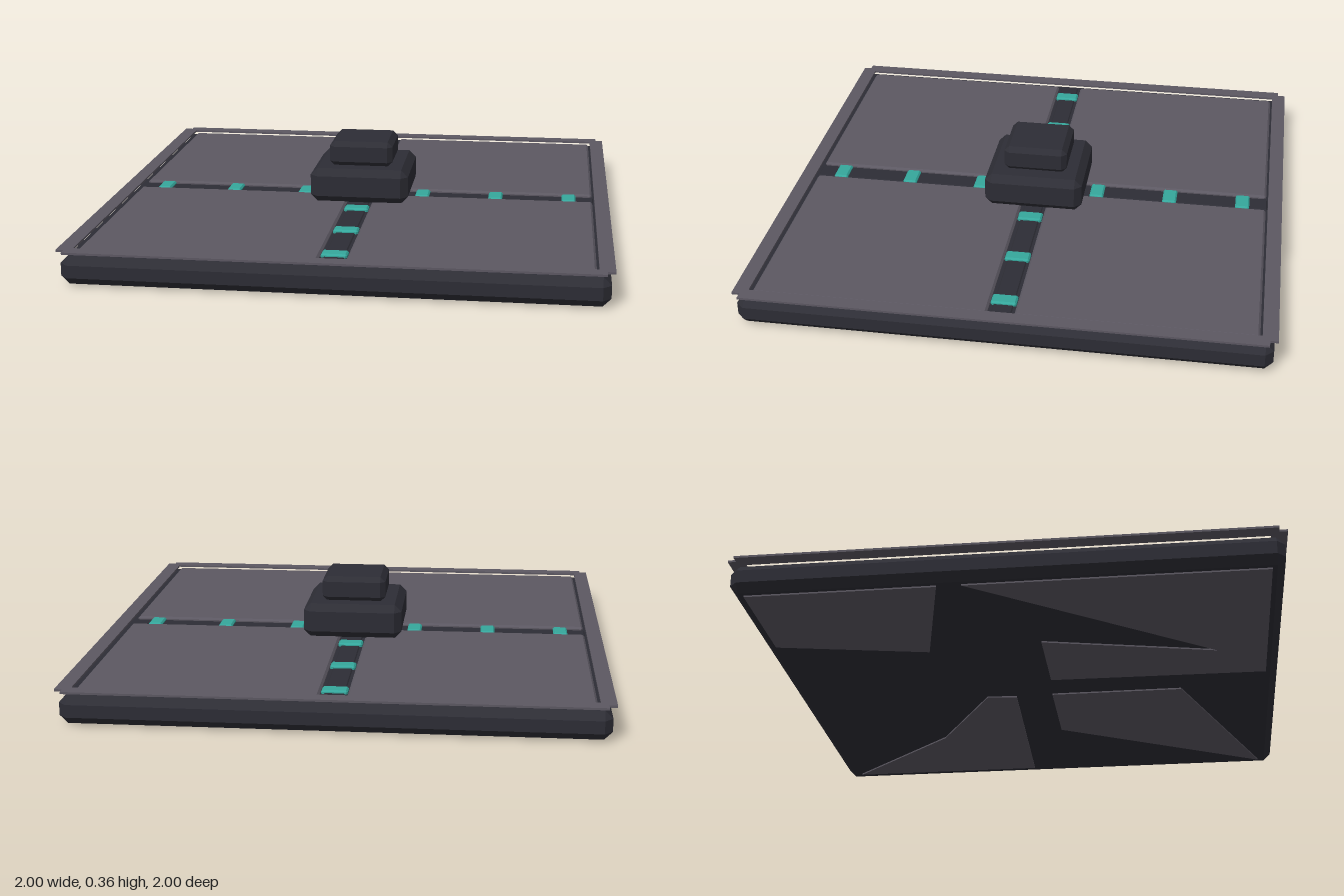
import * as THREE from 'three';
import { ConvexGeometry } from 'three/addons/geometries/ConvexGeometry.js';

const mat = (name, color) => {
  const m = new THREE.MeshStandardMaterial({ color });
  m.name = name;
  return m;
};

// Box with chamfered edges, given its lower and upper height
function chamferBox(w, y0, y1, d, c) {
  const h = (y1 - y0) / 2, pts = [];
  for (const x of [-1, 1]) for (const y of [-1, 1]) for (const z of [-1, 1]) {
    const corner = new THREE.Vector3(x * w / 2, y * h, z * d / 2);
    for (const keep of ['x', 'y', 'z']) {
      const p = corner.clone();
      for (const a of ['x', 'y', 'z']) if (a !== keep) p[a] -= Math.sign(p[a]) * c;
      pts.push(p);
    }
  }
  return new ConvexGeometry(pts).translate(0, (y0 + y1) / 2, 0);
}

export function createModel() {
  const model = new THREE.Group();
  model.name = 'floorPanel';
  const dark = mat('dark metal', 0x2d2d35);
  const grey = mat('grey plate', 0x5c5862);
  const teal = mat('teal light', 0x35a79c);

  const add = (name, geo, material, x = 0, z = 0) => {
    const mesh = new THREE.Mesh(geo, material);
    mesh.name = name;
    mesh.position.set(x, 0, z);
    model.add(mesh);
    return mesh;
  };

  // Slab
  add('base', chamferBox(1.975, 0.006, 0.114, 1.975, 0.03), dark);

  // Four floor tiles, leaving a cross-shaped channel
  for (const x of [-1, 1]) for (const z of [-1, 1]) {
    add('tile', chamferBox(0.885, 0.09, 0.127, 0.885, 0.008), grey, x * 0.493, z * 0.493);
  }

  // Thin border frame with notched corners
  const n = 0.97;
  const frame = new THREE.Shape([
    [-n, -1], [n, -1], [n, -n], [1, -n], [1, n], [n, n],
    [n, 1], [-n, 1], [-n, n], [-1, n], [-1, -n], [-n, -n],
  ].map(([x, y]) => new THREE.Vector2(x, y)));
  const i = 0.943;
  frame.holes.push(new THREE.Path([[-i, -i], [-i, i], [i, i], [i, -i]]
    .map(([x, y]) => new THREE.Vector2(x, y))));
  const frameGeo = new THREE.ExtrudeGeometry(frame, { depth: 0.008, bevelEnabled: false });
  add('borderFrame', frameGeo.rotateX(-Math.PI / 2).translate(0, 0.129, 0), grey);

  // Channel rails and teal lights along the four arms
  for (let k = 0; k < 4; k++) {
    const arm = new THREE.Group();
    arm.name = 'channelArm';
    arm.rotation.y = k * Math.PI / 2;
    const rail = new THREE.Mesh(chamferBox(0.076, 0.1, 0.118, 0.86, 0.004), dark);
    rail.name = 'channelRail';
    rail.position.z = 0.51;
    arm.add(rail);
    for (const z of [0.243, 0.543, 0.84]) {
      const light = new THREE.Mesh(chamferBox(0.096, 0.105, 0.128, 0.057, 0.006), teal);
      light.name = 'channelLight';
      light.position.z = z;
      arm.add(light);
    }
    model.add(arm);
  }

  // Stepped pedestal
  add('pedestalLower', chamferBox(0.395, 0.125, 0.263, 0.395, 0.028), dark);
  add('pedestalUpper', chamferBox(0.255, 0.26, 0.362, 0.255, 0.02), dark);

  // Grey patches under the slab, as x, z corners
  const patches = [
    [[0.92, -0.92], [0.92, -0.1], [0.08, -0.08], [0.07, -0.2], [0.5, -0.45]],
    [[0.93, 0.93], [0.46, 0.07], [0.07, 0.07], [0.07, 0.6]],
    [[-0.07, 0.94], [-0.08, 0.08], [-0.44, 0.08], [-0.29, 0.75], [-0.94, -0.15], [-0.94, 0.94]],
    [[-0.94, -0.94], [-0.94, -0.24], [-0.4, -0.36], [-0.51, -0.94]],
  ];
  for (const corners of patches) {
    const shape = new THREE.Shape(corners.map(([x, z]) => new THREE.Vector2(x, z)));
    const geo = new THREE.ExtrudeGeometry(shape, { depth: 0.007, bevelEnabled: false });
    add('undersidePatch', geo.rotateX(Math.PI / 2).translate(0, 0.007, 0), grey);
  }
  return model;
}
